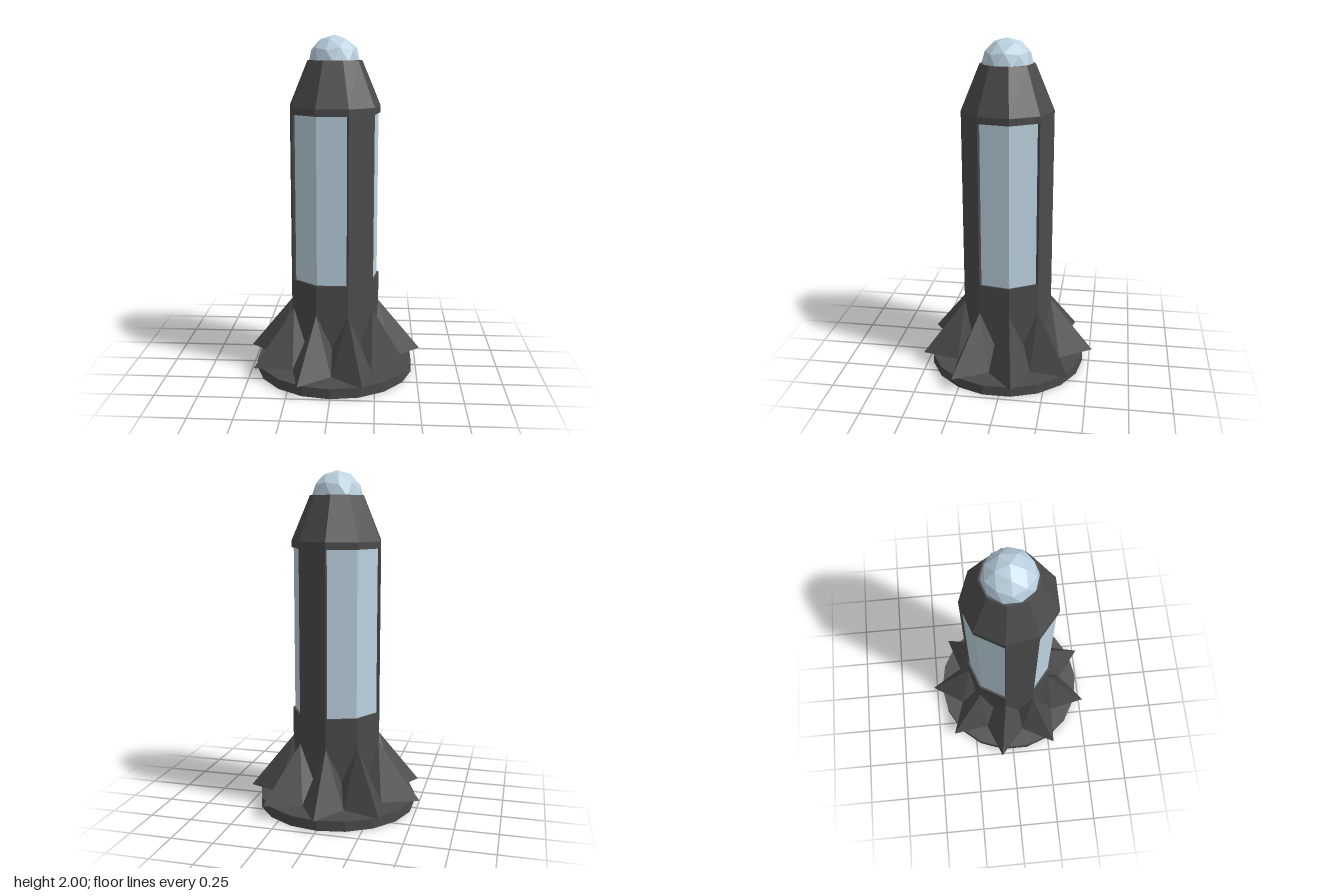
import * as THREE from 'three';

const SIDES = 9;
const STEP = (Math.PI * 2) / SIDES;
const CENTRE_Z = 0.015;

export function createModel() {
  const hull = new THREE.MeshStandardMaterial({ color: 0x4b4b4b });
  hull.name = 'dark hull';
  const glass = new THREE.MeshStandardMaterial({ color: 0xbcd2e0 });
  glass.name = 'pale blue glass';

  const model = new THREE.Group();
  model.name = 'rocket';
  const rocket = new THREE.Group();
  rocket.name = 'rocketParts';
  rocket.position.z = CENTRE_Z;
  model.add(rocket);

  // Adds a faceted mesh
  const add = (name, geometry, material) => {
    const flat = geometry.index ? geometry.toNonIndexed() : geometry;
    flat.computeVertexNormals();
    const mesh = new THREE.Mesh(flat, material);
    mesh.name = name;
    rocket.add(mesh);
    return mesh;
  };

  // Upright prism with its base at y0 and its top at y1
  const prism = (name, material, rBottom, rTop, y0, y1, sides = SIDES, start = STEP / 2) =>
    add(name, new THREE.CylinderGeometry(rTop, rBottom, y1 - y0, sides, 1, false, start)
      .translate(0, (y0 + y1) / 2, 0), material);

  // Round launch base, floating just below the fins
  prism('baseDisc', hull, 0.475, 0.475, 0, 0.06, 18, 0);

  // Nine-sided body
  prism('lowerBody', hull, 0.27, 0.27, 0.1, 0.59);
  prism('windowCore', glass, 0.258, 0.258, 0.585, 1.565);
  prism('upperBand', hull, 0.27, 0.27, 1.56, 1.6);
  prism('noseCone', hull, 0.27, 0.16, 1.6, 1.86);

  // Three hull strips between the recessed double windows
  const width = 2 * 0.27 * Math.sin(STEP / 2);
  const apothem = 0.27 * Math.cos(STEP / 2);
  for (let i = 0; i < 3; i++) {
    const strip = new THREE.BoxGeometry(width, 0.97, 0.03)
      .translate(0, 1.075, apothem - 0.015)
      .rotateY(STEP * (1 + 3 * i));
    add('windowStrip', strip, hull);
  }

  // Glass dome
  const dome = new THREE.IcosahedronGeometry(0.15, 1)
    .rotateX(-Math.atan((1 + Math.sqrt(5)) / 2))
    .rotateY(-Math.PI / 2)
    .translate(0, 1.85, 0);
  add('noseDome', dome, glass);

  // Star-shaped skirt: ridged fins meeting in valleys
  const points = [];
  const at = (r, y, a) => [r * Math.sin(a), y, r * Math.cos(a)];
  const tri = (...corners) => corners.forEach((c) => points.push(...c));
  for (let i = 0; i < SIDES; i++) {
    const a = STEP * (i + 0.5);
    const ridge = at(0.27, 0.41, a);
    const tip = at(0.535, 0.08, a);
    for (const side of [-1, 1]) {
      const b = a + (side * STEP) / 2;
      const valleyTop = at(apothem, 0.21, b);
      const valleyFoot = at(0.36, 0.08, b);
      const faces = [
        [ridge, tip, valleyFoot],
        [ridge, valleyFoot, valleyTop],
        [[0, 0.08, 0], valleyFoot, tip],
      ];
      for (const f of faces) tri(...(side > 0 ? f : f.reverse()));
    }
  }
  const skirt = new THREE.BufferGeometry();
  skirt.setAttribute('position', new THREE.Float32BufferAttribute(points, 3));
  add('finSkirt', skirt, hull);

  return model;
}
